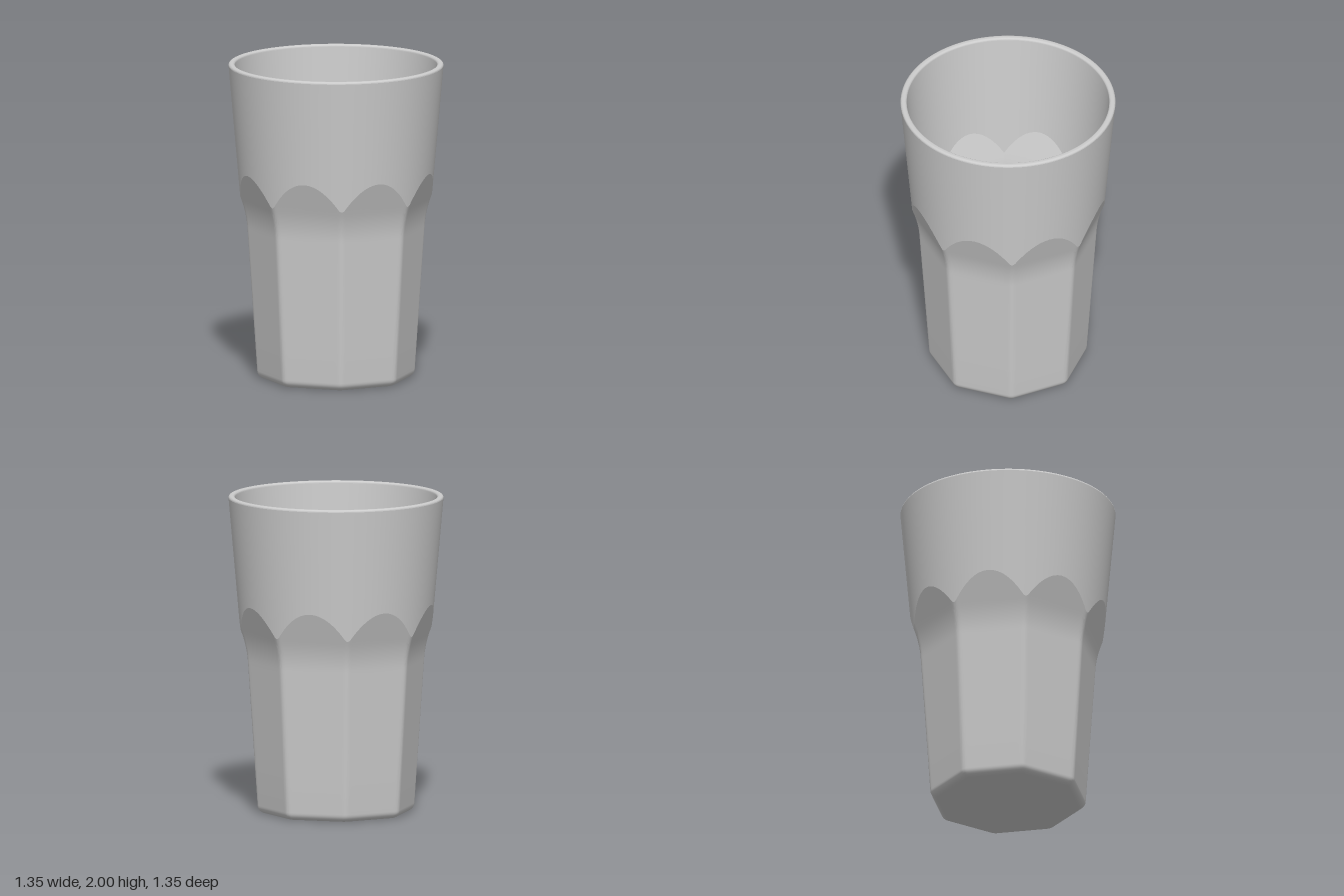
import * as THREE from 'three';
import { toCreasedNormals } from 'three/addons/utils/BufferGeometryUtils.js';

const SIDES = 8, PER_SIDE = 24, HALF = Math.PI / SIDES;
const WALL = 0.04, FOOT = 0.05, FLOOR_Y = 0.045, FLOOR_R = 0.08, RIM_R = 0.014, TOP = 2;

// Column angles, bunched towards the octagon's corners
const columns = [];
for (let s = 0; s < SIDES; s++)
  for (let k = 0; k < PER_SIDE; k++) {
    const phi = HALF * Math.sin((2 * k / PER_SIDE - 1) * Math.PI / 2);
    columns.push({ phi, theta: 2 * HALF * s + phi });
  }

// Round upper cone, and apothem of the octagonal lower body with its soft flare
const cone = y => 0.674 - 0.088 * (TOP - y);
function apothem(y) {
  const d = y - 1.05, w = 0.09;
  const ramp = d < -w ? 0 : d > w ? d : (d + w) ** 2 / (4 * w);
  return 0.457 + 0.062 * y + 0.27 * ramp;
}

// Radius of an octagon with rounded corners at an angle from its side's middle
function octagon(phi, a, round) {
  const f = Math.min(round, a / 2), p = Math.abs(phi);
  if (f === 0 || a * Math.tan(p) <= (a - f) * Math.tan(HALF)) return a / Math.cos(p);
  const c = (a - f) / Math.cos(HALF), e = HALF - p;
  return c * Math.cos(e) + Math.sqrt(Math.max(0, f * f - (c * Math.sin(e)) ** 2));
}

// Height at which a facet runs out into the cone
function scallop(phi, inset, round) {
  let lo = 0.95, hi = 1.6;
  for (let i = 0; i < 40; i++) {
    const y = (lo + hi) / 2;
    if (octagon(phi, apothem(y) - inset, round) < cone(y) - inset) lo = y; else hi = y;
  }
  return lo;
}

// Skin over rings; each ring maps a column's phi to [radius, height]
function skin(name, rings, material) {
  const pos = [], idx = [], n = columns.length;
  for (const ring of rings)
    for (const { phi, theta } of columns) {
      const [r, y] = ring(phi);
      pos.push(r * Math.sin(theta), y, r * Math.cos(theta));
    }
  for (let i = 0; i < rings.length - 1; i++)
    for (let j = 0; j < n; j++) {
      const a = i * n + j, b = i * n + (j + 1) % n;
      idx.push(a, b, b + n, a, b + n, a + n);
    }
  const geo = new THREE.BufferGeometry();
  geo.setAttribute('position', new THREE.Float32BufferAttribute(pos, 3));
  geo.setIndex(idx);
  const mesh = new THREE.Mesh(toCreasedNormals(geo, 0.5), material);
  mesh.name = name;
  return mesh;
}

// Faceted body from the centre of its base, round the fillet, up to the scallops
function facetRings(inset, round, baseY, fillet) {
  const rings = [], y0 = baseY + fillet, a0 = apothem(y0) - inset;
  const flat = (a, y) => rings.push(phi => [octagon(phi, a, round), y]);
  flat(0, baseY);
  flat((a0 - fillet) * 0.9, baseY);
  for (let i = 0; i <= 8; i++) {
    const t = i / 8 * Math.PI / 2;
    flat(a0 - fillet * (1 - Math.sin(t)), y0 - fillet * Math.cos(t));
  }
  for (let i = 1; i <= 4; i++) {
    const y = y0 + (0.94 - y0) * i / 4;
    flat(apothem(y) - inset, y);
  }
  for (let i = 1; i <= 16; i++)
    rings.push(phi => {
      const y = 0.94 + (scallop(phi, inset, round) - 0.94) * i / 16;
      return [octagon(phi, apothem(y) - inset, round), y];
    });
  return rings;
}

// Conical wall from the scallops up to the rim
function coneRings(inset, round) {
  const rings = [];
  for (let i = 0; i <= 4; i++)
    rings.push(phi => {
      const s = scallop(phi, inset, round), y = s + (TOP - RIM_R - s) * i / 4;
      return [cone(y) - inset, y];
    });
  return rings;
}

// Rounded lip over the wall's top
function rimRings() {
  const rings = [], y0 = TOP - RIM_R, outer = cone(y0);
  for (const [r, from] of [[outer - RIM_R, 0], [outer - WALL + RIM_R, 1]])
    for (let i = 0; i <= 6; i++) {
      const t = (from + i / 6) * Math.PI / 2;
      rings.push(() => [r + RIM_R * Math.cos(t), y0 + RIM_R * Math.sin(t)]);
    }
  return rings;
}

export function createModel() {
  const group = new THREE.Group();
  group.name = 'tumbler';
  const grey = new THREE.MeshStandardMaterial({ color: 0xcccccc });
  group.add(
    skin('outerFacets', facetRings(0, 0.05, 0, FOOT), grey),
    skin('outerWall', coneRings(0, 0.05), grey),
    skin('rim', rimRings(), grey),
    // The inside runs from the rim downwards, so its faces look inwards
    skin('innerWall', coneRings(WALL, 0).reverse(), grey),
    skin('innerFacets', facetRings(WALL, 0, FLOOR_Y, FLOOR_R).reverse(), grey),
  );
  return group;
}
